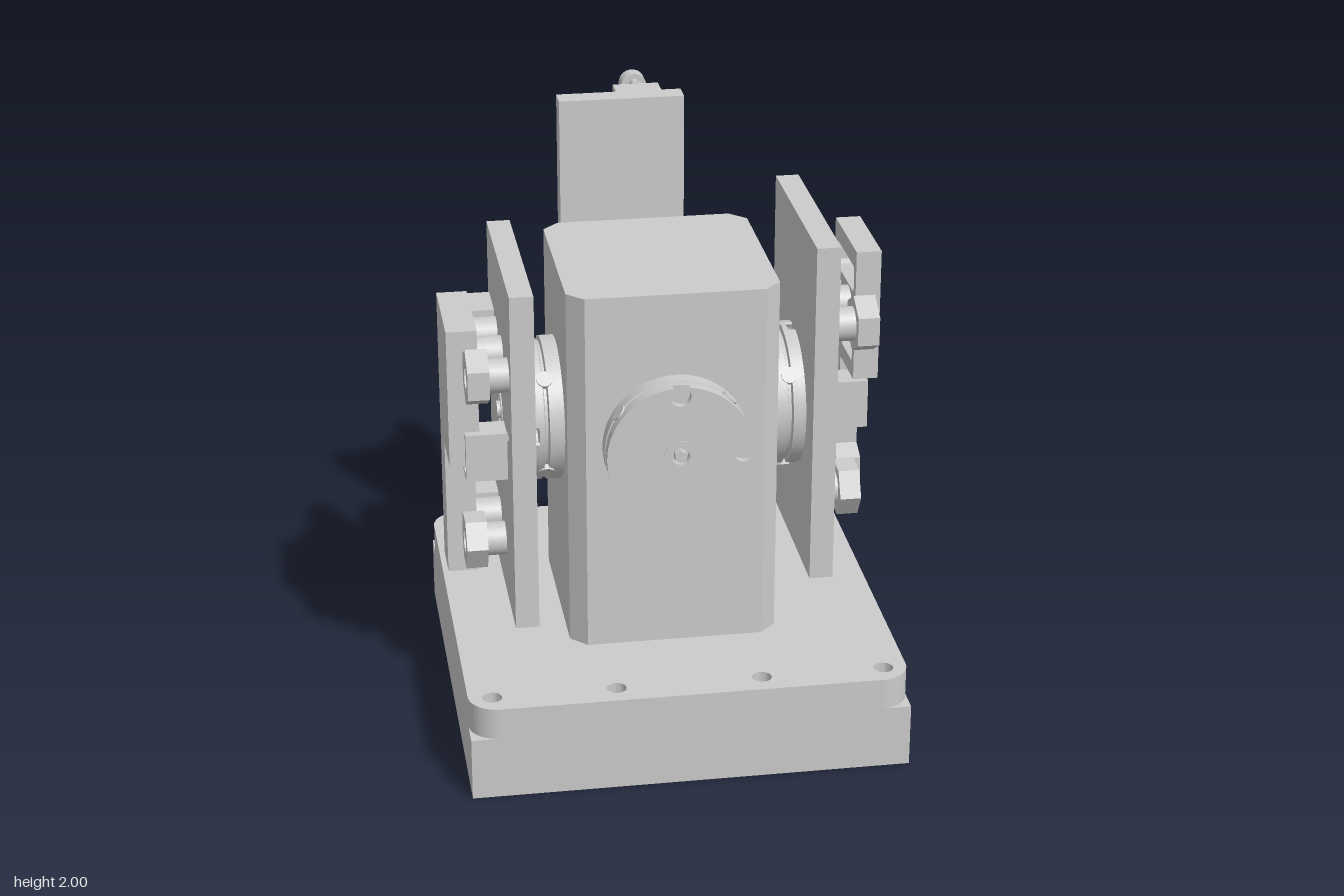
import * as THREE from 'three';
import { toCreasedNormals } from 'three/addons/utils/BufferGeometryUtils.js';

const grey = new THREE.MeshStandardMaterial({ color: 0xcccccc });
const MID = 1.07; // height of the rotary axes

function add(parent, name, geometry, x = 0, y = 0, z = 0) {
  const mesh = new THREE.Mesh(geometry, grey);
  mesh.name = name;
  mesh.position.set(x, y, z);
  parent.add(mesh);
  return mesh;
}

// Box given by its limits
function box(parent, name, x0, x1, y0, y1, z0, z1) {
  return add(parent, name, new THREE.BoxGeometry(x1 - x0, y1 - y0, z1 - z0),
    (x0 + x1) / 2, (y0 + y1) / 2, (z0 + z1) / 2);
}

// Cylinder along z, from z0 to z1
function rod(parent, name, x, y, r, z0, z1, sides = 28) {
  const g = new THREE.CylinderGeometry(r, r, z1 - z0, sides).rotateX(Math.PI / 2);
  return add(parent, name, sides < 9 ? toCreasedNormals(g, 0.5) : g, x, y, (z0 + z1) / 2);
}

const poly = (pts) => new THREE.Shape(pts.map(([x, y]) => new THREE.Vector2(x, y)));
const rect = (x0, x1, y0, y1) => poly([[x0, y0], [x1, y0], [x1, y1], [x0, y1]]);
const circle = (x, y, r) => new THREE.Path().absarc(x, y, r, 0, Math.PI * 2, true);

function roundRect(x0, x1, y0, y1, r) {
  const s = new THREE.Shape();
  s.absarc(x1 - r, y1 - r, r, 0, Math.PI / 2);
  s.absarc(x0 + r, y1 - r, r, Math.PI / 2, Math.PI);
  s.absarc(x0 + r, y0 + r, r, Math.PI, Math.PI * 1.5);
  s.absarc(x1 - r, y0 + r, r, Math.PI * 1.5, Math.PI * 2);
  s.closePath();
  return s;
}

function slab(shape, holes, z0, z1) {
  shape.holes.push(...holes);
  const g = new THREE.ExtrudeGeometry(shape, { depth: z1 - z0, bevelEnabled: false, curveSegments: 14 });
  return toCreasedNormals(g.translate(0, 0, z0), 0.6);
}

// Rotary disc with a grooved rim, two edge notches and a central hub
function disc(parent) {
  const R = 0.245, g = new THREE.Group();
  g.name = 'rotaryDisc';
  g.position.set(0, MID, 0.355);
  parent.add(g);
  const profile = [[0, 0], [R, 0], [R, 0.05], [R - 0.015, 0.054], [R - 0.015, 0.063], [R, 0.067], [R, 0.085], [0, 0.085]];
  const lathe = new THREE.LatheGeometry(profile.map((p) => new THREE.Vector2(...p)), 56).rotateX(Math.PI / 2);
  add(g, 'discBody', toCreasedNormals(lathe, 0.5));
  const face = new THREE.Shape(), c = 0.213, n = 0.035, a = 0.13;
  const bite = (t) => { // notch cut into the rim around angle t
    for (let i = 0; i <= 12; i++) {
      const b = t - 0.75 + Math.PI * 2 - i * (Math.PI * 2 - 1.5) / 12 - Math.PI * 2;
      face.lineTo(c * Math.cos(t) + n * Math.cos(b), c * Math.sin(t) + n * Math.sin(b));
    }
  };
  face.moveTo(R * Math.cos(a), R * Math.sin(a));
  face.absarc(0, 0, R, a, Math.PI / 2 - a);
  bite(Math.PI / 2);
  face.absarc(0, 0, R, Math.PI / 2 + a, Math.PI * 2 - a);
  bite(0);
  add(g, 'discFace', slab(face, [circle(0, 0, 0.03)], 0.085, 0.11));
  add(g, 'hub', slab(roundRect(-0.055, 0.055, -0.055, 0.055, 0.055), [circle(0, 0, 0.033)], 0.1, 0.113));
  rod(g, 'hubSocket', 0, 0, 0.022, 0.09, 0.118, 6);
  for (const t of [0.8, 2.5, 4.3, 5.6]) { // rim plugs
    const plug = add(g, 'rimPlug', new THREE.CylinderGeometry(0.028, 0.028, 0.02, 16),
      (R - 0.005) * Math.cos(t), (R - 0.005) * Math.sin(t), 0.058);
    plug.rotation.z = t - Math.PI / 2;
  }
}

// Pallet plate with a cross of small bores around a bushing
function plate(parent, u0, u1, y0, y1) {
  const holes = [[0.22, 0], [-0.22, 0], [0, 0.22], [0, -0.22]]
    .filter(([u]) => u > u0 + 0.03 && u < u1 - 0.03).map(([u, v]) => circle(u, MID + v, 0.018));
  add(parent, 'palletPlate', slab(rect(u0, u1, y0, y1), holes, 0.465, 0.545));
  add(parent, 'bushing', new THREE.TorusGeometry(0.06, 0.007, 6, 32), 0, MID, 0.545);
  rod(parent, 'bushingPin', 0, MID, 0.03, 0.54, 0.56);
}

// Stop block with two sunk socket screws, set out along its longer side
function block(parent, u0, u1, y0, y1, w1) {
  const cx = (u0 + u1) / 2, cy = (y0 + y1) / 2, wide = u1 - u0 > y1 - y0;
  const d = (wide ? u1 - u0 : y1 - y0) * 0.24;
  const spots = [-d, d].map((k) => (wide ? [cx + k, cy] : [cx, cy + k]));
  add(parent, 'stopBlock', slab(rect(u0, u1, y0, y1), spots.map(([x, y]) => circle(x, y, 0.033)), 0.545, w1));
  for (const [x, y] of spots) {
    add(parent, 'socketScrew', slab(roundRect(x - 0.033, x + 0.033, y - 0.033, y + 0.033, 0.033),
      [circle(x, y, 0.015)], 0.545, w1 - 0.02));
  }
}

// Hexagonal eccentric clamp on a round post
function hexClamp(parent, u, y, turn) {
  rod(parent, 'clampPost', u, y, 0.058, 0.545, 0.62);
  const hex = poly([0, 1, 2, 3, 4, 5].map((i) => [0.098 * Math.cos(turn + i * Math.PI / 3), 0.098 * Math.sin(turn + i * Math.PI / 3)]));
  add(parent, 'hexClamp', slab(hex, [circle(0, 0, 0.04)], 0.612, 0.685), u, y, 0);
  rod(parent, 'clampScrew', u, y, 0.036, 0.61, 0.65, 20);
}

// Slotted strap clamp with a stud and nut; sv = stud offset along the strap
function strapClamp(parent, u, y, length, turn, sv, reach) {
  const g = new THREE.Group();
  g.name = 'strapClamp';
  g.position.set(u, y, 0);
  g.rotation.z = turn;
  parent.add(g);
  const h = length / 2;
  add(g, 'strap', slab(roundRect(-0.046, 0.046, -h, h, 0.045), [roundRect(-0.02, 0.02, -h * 0.55, h * 0.55, 0.02)], 0.775, 0.83));
  rod(g, 'stud', 0, sv, 0.017, 0.6, reach, 16);
  rod(g, 'nut', 0, sv, 0.036, 0.83, 0.865, 6);
  rod(g, 'washer', 0, sv, 0.03, 0.71, 0.775, 16);
}

// Studs, blocks and part shared by the two side stations; dy shifts the tooling
function sideTooling(parent, dy, m) {
  for (const y of [1.43, 0.74]) block(parent, m * 0.237 - 0.082, m * 0.237 + 0.082, y + dy - 0.053, y + dy + 0.053, 0.685);
  block(parent, -m * 0.148 - 0.053, -m * 0.148 + 0.053, 1.01 + dy, 1.18 + dy, 0.685);
  hexClamp(parent, -m * 0.26, 1.42 + dy, Math.PI / 6);
  hexClamp(parent, -m * 0.055, 0.72 + dy, 0.05);
  for (const [u, y] of [[0.1, 1.42], [-0.07, 1.42], [0.1, 0.74]]) rod(parent, 'supportPost', m * u, y + dy, 0.058, 0.545, 0.637);
}

function station(root, name, turn) {
  const g = new THREE.Group();
  g.name = name;
  g.position.z = 0.085;
  g.rotation.y = turn;
  root.add(g);
  disc(g);
  return g;
}

export function createModel() {
  const root = new THREE.Group();
  root.name = 'fixtureTower';

  // Base with rounded upper corners and bolt holes
  box(root, 'baseLower', -0.74, 0.74, 0, 0.22, -0.65, 0.83);
  const bolts = [-0.66, -0.245, 0.245, 0.66].flatMap((x) => [-0.657, 0.657].map((z) => circle(x, z, 0.033)));
  add(root, 'baseUpper', slab(roundRect(-0.74, 0.74, -0.74, 0.74, 0.1), bolts, 0.22, 0.33).rotateX(-Math.PI / 2), 0, 0, 0.09);

  // Chamfered column
  const a = 0.355, b = 0.3;
  const section = poly([[a, -b], [a, b], [b, a], [-b, a], [-a, b], [-a, -b], [-b, -a], [b, -a]]);
  add(root, 'column', slab(section, [], 0.33, 1.6).rotateX(-Math.PI / 2), 0, 0, 0.085);

  station(root, 'frontStation', 0);

  // Left station: windowed workpiece
  const left = station(root, 'leftStation', Math.PI / 2);
  plate(left, -0.355, 0.355, 0.525, 1.73);
  sideTooling(left, 0, 1);
  const hooked = poly([[-0.18, 1.64], [-0.18, 1.18], [0.025, 1.18], [0.025, 1.08], [0.105, 1.08], [0.105, 0.81],
    [0.04, 0.78], [0.03, 0.675], [0.155, 0.675], [0.155, 1.64]]);
  add(left, 'windowedWorkpiece', slab(hooked,
    [roundRect(-0.15, 0.125, 1.485, 1.575, 0.015), roundRect(-0.15, 0.125, 1.235, 1.325, 0.015)], 0.637, 0.722));

  // Right station: solid workpiece
  const right = station(root, 'rightStation', -Math.PI / 2);
  plate(right, -0.355, 0.355, 0.415, 1.62);
  sideTooling(right, -0.11, -1);
  const solid = poly([[-0.185, 0.45], [-0.03, 0.45], [-0.03, 0.945], [0.17, 0.945], [0.17, 1.435], [-0.185, 1.435]]);
  add(right, 'solidWorkpiece', slab(solid, [], 0.635, 0.738));

  // Back station: tall narrow pallet with strap clamps
  const back = station(root, 'backStation', Math.PI);
  plate(back, -0.16, 0.275, 0.525, 2.0);
  const tall = poly([[-0.105, 0.78], [0.245, 0.78], [0.245, 1.74], [0.0, 1.74], [0.0, 1.66], [0.1, 1.62], [0.1, 1.24], [-0.105, 1.24]]);
  add(back, 'tallWorkpiece', slab(tall,
    [roundRect(-0.075, 0.215, 0.845, 0.935, 0.015), roundRect(-0.075, 0.215, 1.095, 1.185, 0.015)], 0.685, 0.775));
  for (const [u, y] of [[0.165, 1.695], [0.165, 1.135], [-0.05, 1.135], [0.165, 0.94], [-0.05, 0.94]]) {
    rod(back, 'supportPost', u, y, 0.055, 0.545, 0.685);
  }
  block(back, -0.1, 0.06, 1.81, 1.985, 0.67);
  block(back, 0.0, 0.13, 0.525, 0.7, 0.67);
  block(back, 0.13, 0.24, 0.61, 0.78, 0.735);
  strapClamp(back, -0.03, 1.838, 0.295, 0, 0.007, 0.895);
  strapClamp(back, 0.07, 0.672, 0.295, 0, -0.007, 0.895);
  strapClamp(back, 0.1, 1.08, 0.24, -0.85, 0.06, 0.915);
  for (const [u, y] of [[-0.03, 1.955], [0.07, 0.557]]) { // heel screws
    rod(back, 'heelScrew', u, y, 0.015, 0.66, 0.775, 14);
    rod(back, 'heelNut', u, y, 0.032, 0.67, 0.69, 6);
  }
  return root;
}
